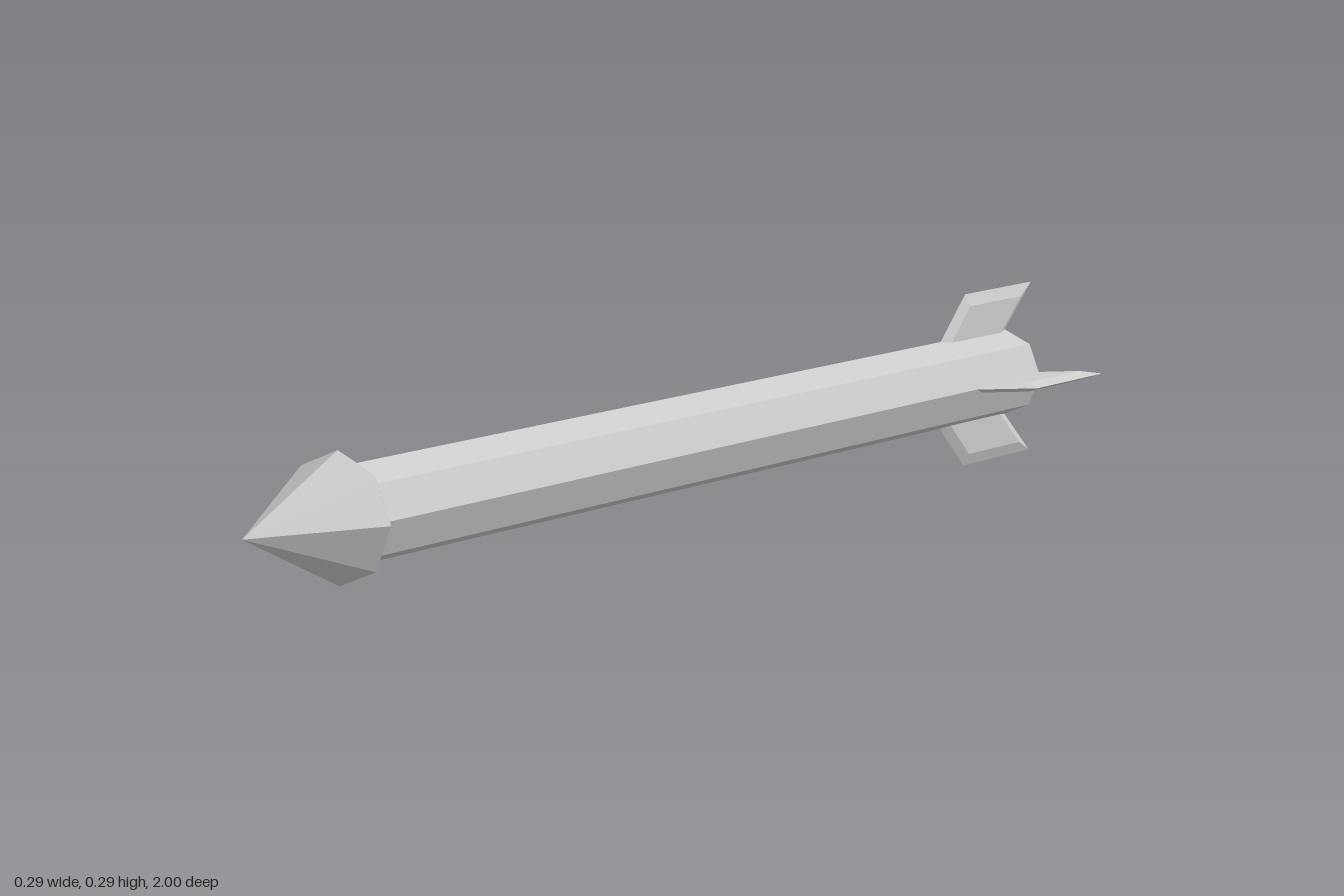
import * as THREE from 'three';

const AXIS_Y = 0.15;
const material = new THREE.MeshStandardMaterial({ color: 0xcccccc, flatShading: true });

// Eight-sided turned part along z; profile points are [radius, z], rear to front
function turned(name, profile) {
  const geometry = new THREE.LatheGeometry(profile.map(([r, z]) => new THREE.Vector2(r, z)), 8);
  geometry.rotateX(Math.PI / 2);
  const mesh = new THREE.Mesh(geometry, material);
  mesh.name = name;
  return mesh;
}

// Swept fin standing in +y: a flat plate bevelled to a sharp edge on its three free sides
function finGeometry() {
  const t = 0.008;
  // [height, z]: root front, tip front, tip rear, root rear
  const edge = [[0.062, -0.71], [0.147, -0.795], [0.147, -1], [0.062, -0.908]];
  const plate = [[0.062, -0.735], [0.127, -0.80], [0.127, -0.957], [0.062, -0.887]];
  const positions = [];
  for (const side of [1, -1]) {
    const P = edge.map(([y, z]) => [0, y, z]);
    const Q = plate.map(([y, z]) => [side * t, y, z]);
    const quads = [[Q[0], Q[3], Q[2], Q[1]]];
    for (let i = 0; i < 3; i++) quads.push([P[i], Q[i], Q[i + 1], P[i + 1]]);
    for (const quad of quads) {
      const [a, b, c, d] = side > 0 ? quad : [...quad].reverse();
      positions.push(...a, ...b, ...c, ...a, ...c, ...d);
    }
  }
  const geometry = new THREE.BufferGeometry();
  geometry.setAttribute('position', new THREE.Float32BufferAttribute(positions, 3));
  geometry.computeVertexNormals();
  return geometry;
}

export function createModel() {
  const model = new THREE.Group();
  model.name = 'rocket';

  // Body tube with a conical exhaust hollow in the tail
  const body = turned('body', [[0, -0.76], [0.058, -0.917], [0.074, -0.917], [0.074, 0.775]]);

  // Pointed nose with a short shoulder behind it
  const nose = turned('nose', [[0.07, 0.771], [0.098, 0.8], [0, 1]]);

  // Four tail fins
  const fins = new THREE.Group();
  fins.name = 'tailFins';
  const geometry = finGeometry();
  ['topFin', 'rightFin', 'bottomFin', 'leftFin'].forEach((name, i) => {
    const fin = new THREE.Mesh(geometry, material);
    fin.name = name;
    fin.rotation.z = i * Math.PI / 2;
    fins.add(fin);
  });

  for (const part of [body, nose, fins]) {
    part.position.y = AXIS_Y;
    model.add(part);
  }
  return model;
}
